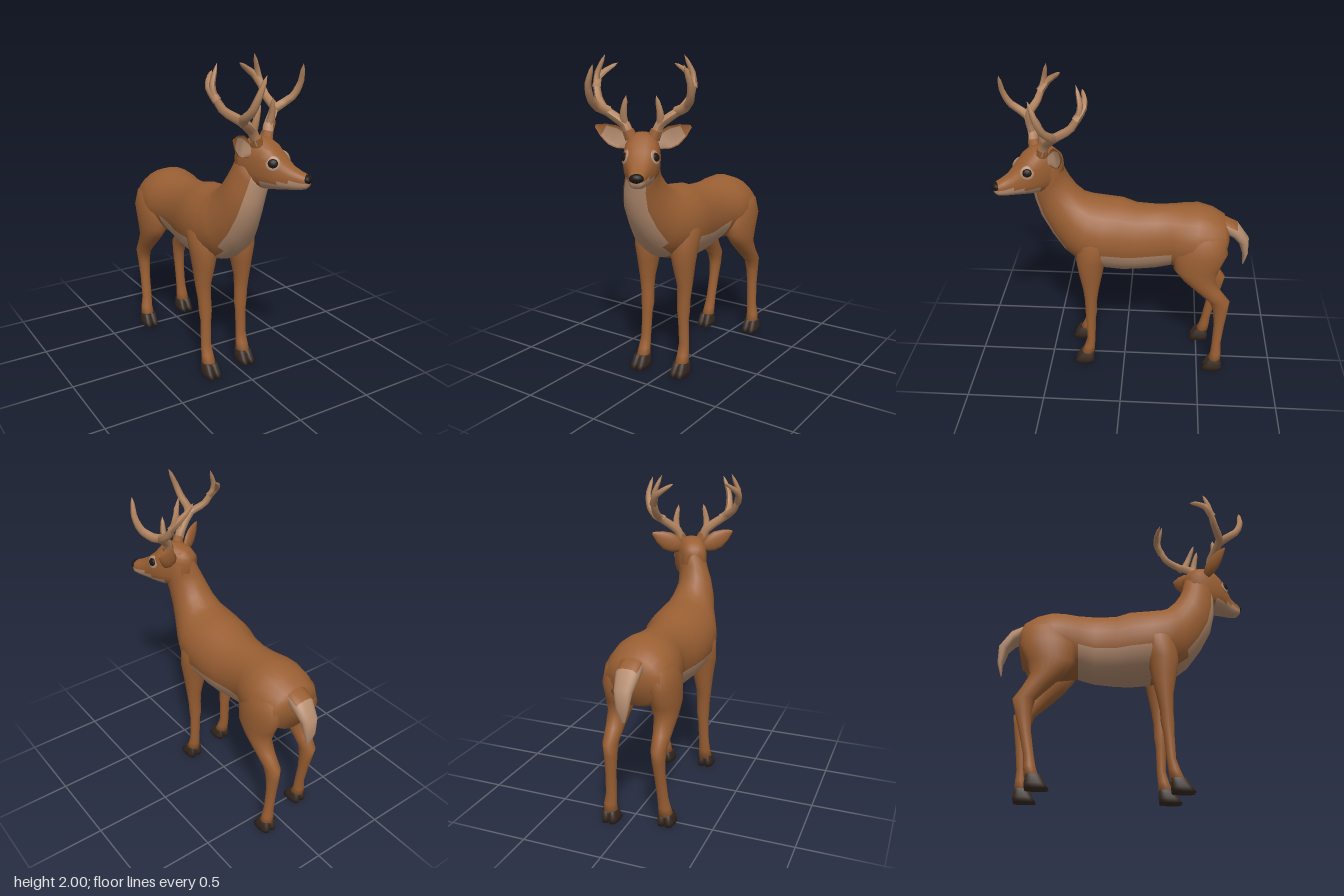
import * as THREE from 'three';

const mat = (name, color) => Object.assign(new THREE.MeshStandardMaterial({ color }), { name });
const SEG = 24;
const BODY_X = -0.05;

// Skin through oval rings [x, zTop, yTop, zBottom, yBottom, halfWidth];
// pick(ring, degrees) gives the material index of each strip, pow < 1 makes rings boxier.
function loft(rings, pick = () => 0, pow = 1) {
  const pos = [], faces = [[], []];
  const bend = v => Math.sign(v) * Math.abs(v) ** pow;
  for (const [x, zt, yt, zb, yb, w] of rings) {
    for (let j = 0; j < SEG; j++) {
      const a = (j / SEG) * Math.PI * 2, c = bend(Math.cos(a)), s = bend(Math.sin(a));
      pos.push(x + w * c, (yt + yb) / 2 + s * (yt - yb) / 2, (zt + zb) / 2 + s * (zt - zb) / 2);
    }
  }
  for (const [x, zt, yt, zb, yb] of [rings[0], rings.at(-1)]) pos.push(x, (yt + yb) / 2, (zt + zb) / 2);
  const n = rings.length, start = n * SEG, last = (n - 1) * SEG;
  for (let j = 0; j < SEG; j++) {
    const k = (j + 1) % SEG, deg = (j + 0.5) * 360 / SEG;
    for (let i = 0; i < n - 1; i++) {
      const a = i * SEG + j, b = i * SEG + k;
      faces[pick(i, deg)].push(a, b, a + SEG, b, b + SEG, a + SEG);
    }
    faces[pick(0, deg)].push(start, k, j);
    faces[pick(n - 2, deg)].push(start + 1, last + j, last + k);
  }
  const g = new THREE.BufferGeometry();
  g.setAttribute('position', new THREE.Float32BufferAttribute(pos, 3));
  g.setIndex([...faces[0], ...faces[1]]);
  g.addGroup(0, faces[0].length, 0);
  if (faces[1].length) g.addGroup(faces[0].length, faces[1].length, 1);
  g.computeVertexNormals();
  return g;
}

// Tapering, slightly angular tube through points
function tine(points, radius) {
  const curve = new THREE.CatmullRomCurve3(points.map(p => new THREE.Vector3(...p)), false, 'catmullrom', 0.2);
  const n = points.length * 2, sides = 6;
  const g = new THREE.TubeGeometry(curve, n, radius, sides);
  const p = g.attributes.position, v = new THREE.Vector3();
  for (let i = 0; i <= n; i++) {
    const c = curve.getPointAt(i / n), f = Math.max(0.02, (1 - i / n) ** 0.4);
    for (let j = 0; j <= sides; j++) {
      const id = i * (sides + 1) + j;
      v.fromBufferAttribute(p, id).sub(c).multiplyScalar(f).add(c);
      p.setXYZ(id, v.x, v.y, v.z);
    }
  }
  g.computeVertexNormals();
  return g;
}

export function createModel() {
  const fur = mat('brown fur', 0x9a5f33), cream = mat('cream fur', 0xb58d70);
  const horn = mat('antler', 0xb2845f), hoofDark = mat('hoof', 0x35281f), black = mat('black', 0x1c1614);
  const model = new THREE.Group();
  model.name = 'deer';
  const add = (parent, name, geometry, material) => {
    const m = new THREE.Mesh(geometry, material);
    m.name = name;
    parent.add(m);
    return m;
  };
  const fromBottom = deg => Math.abs(deg - 270);

  // Torso and neck, with pale belly and bib
  const torso = [
    [-0.66, 1.04, -0.67, 0.92, 0.09], [-0.635, 1.09, -0.645, 0.80, 0.165], [-0.56, 1.135, -0.56, 0.76, 0.205],
    [-0.47, 1.165, -0.45, 0.73, 0.215], [-0.39, 1.162, -0.37, 0.74, 0.21], [-0.31, 1.157, -0.30, 0.745, 0.18],
    [-0.2, 1.155, -0.2, 0.715, 0.169], [-0.07, 1.16, -0.07, 0.705, 0.19], [0.02, 1.19, 0.02, 0.705, 0.212],
    [0.13, 1.2, 0.15, 0.72, 0.223], [0.21, 1.21, 0.30, 0.77, 0.214], [0.26, 1.23, 0.39, 0.84, 0.185],
    [0.31, 1.28, 0.47, 0.95, 0.15], [0.35, 1.34, 0.54, 1.08, 0.125], [0.375, 1.40, 0.57, 1.2, 0.112, 0.015],
    [0.39, 1.47, 0.58, 1.3, 0.104, 0.04], [0.425, 1.545, 0.59, 1.38, 0.088, 0.05],
  ].map(([zt, yt, zb, yb, w, dx = 0]) => [BODY_X + dx, zt, yt, zb, yb, w]);
  const paleAngle = i => i < 5 || i === 9 ? 0 : i < 9 ? 70 : i === 10 ? 35 : 40;
  add(model, 'torso', loft(torso, (i, d) => +(fromBottom(d) < paleAngle(i))), [fur, cream]);

  // Tail, brown on top of its root
  const tail = [
    [-0.775, 0.743, -0.768, 0.75, 0.012], [-0.80, 0.83, -0.765, 0.82, 0.038], [-0.797, 0.94, -0.735, 0.91, 0.055],
    [-0.72, 1.045, -0.70, 0.95, 0.07], [-0.62, 1.09, -0.64, 0.99, 0.075],
  ].map(r => [BODY_X, ...r]);
  add(model, 'tail', loft(tail, (i, d) => +(i === 3 && Math.abs(d - 90) < 55), 0.85), [cream, fur]);

  // Legs from the ground up: [y, zBack, zFront, distance from middle, halfWidth]
  const foreLeg = [
    [0.07, 0.205, 0.295, 0.14, 0.045], [0.13, 0.2, 0.27, 0.14, 0.039], [0.2, 0.195, 0.25, 0.14, 0.034],
    [0.36, 0.19, 0.255, 0.135, 0.035], [0.42, 0.18, 0.26, 0.135, 0.042], [0.5, 0.18, 0.26, 0.138, 0.043],
    [0.6, 0.165, 0.27, 0.143, 0.05], [0.72, 0.14, 0.295, 0.137, 0.069], [0.82, 0.12, 0.31, 0.135, 0.086],
    [0.95, 0.08, 0.30, 0.138, 0.088], [1.08, 0.1, 0.26, 0.11, 0.055],
  ];
  const hindLeg = [
    [0.07, -0.66, -0.575, 0.165, 0.045], [0.13, -0.66, -0.59, 0.163, 0.039], [0.2, -0.655, -0.595, 0.155, 0.034],
    [0.35, -0.67, -0.60, 0.15, 0.034], [0.46, -0.685, -0.59, 0.148, 0.04], [0.54, -0.693, -0.56, 0.15, 0.046],
    [0.62, -0.63, -0.47, 0.15, 0.056], [0.7, -0.585, -0.385, 0.148, 0.07], [0.78, -0.61, -0.32, 0.143, 0.086],
    [0.9, -0.66, -0.315, 0.14, 0.091], [1.0, -0.64, -0.36, 0.125, 0.085], [1.08, -0.59, -0.42, 0.09, 0.055],
  ];
  const legs = [['foreLeg', foreLeg, 0.04, 0.21, 0.345], ['hindLeg', hindLeg, 0.085, -0.665, -0.53]];
  for (const side of [1, -1]) {
    for (const [name, rings, stride, heel, toeTip] of legs) {
      const leg = new THREE.Group();
      leg.name = (side > 0 ? 'left ' : 'right ') + name;
      model.add(leg);
      const step = y => side > 0 ? 0 : stride * Math.max(0, 1 - y / 0.65);
      add(leg, 'leg', loft(rings.map(([y, b, f, d, w]) =>
        [BODY_X + side * d, b + step(y), y, f + step(y), y, w])), fur);
      // Cloven hoof
      const [, b, f, d] = rings[0], s = step(0);
      for (const toe of [-1, 1]) {
        const x = BODY_X + side * d + toe * 0.024;
        add(leg, 'hoof', loft([
          [x, heel + s, 0.003, toeTip + s, 0.003, 0.027], [x, heel - 0.003 + s, 0.03, toeTip - 0.02 + s, 0.03, 0.028],
          [x - toe * 0.003, b - 0.002 + s, 0.082, f + 0.002 + s, 0.082, 0.026],
        ], undefined, 0.8), hoofDark);
      }
    }
  }

  // Head, turned toward the left
  const head = new THREE.Group();
  head.name = 'head';
  head.position.set(0, 0, 0.5);
  head.rotation.y = 0.53;
  model.add(head);
  const skull = [
    [-0.11, 1.51, 1.38, 0.06], [-0.07, 1.55, 1.32, 0.085], [0, 1.578, 1.285, 0.1], [0.06, 1.572, 1.282, 0.105],
    [0.11, 1.542, 1.285, 0.102], [0.16, 1.485, 1.29, 0.086], [0.22, 1.43, 1.295, 0.06], [0.27, 1.405, 1.3, 0.05],
    [0.31, 1.39, 1.31, 0.042], [0.325, 1.375, 1.325, 0.026],
  ].map(([z, t, b, w]) => [0, z, t, z, b, w]);
  const jawAngle = i => i < 3 ? 0 : i < 5 ? 60 : i === 5 ? 75 : 85;
  add(head, 'skull', loft(skull, (i, d) => +(fromBottom(d) < jawAngle(i)), 0.8), [fur, cream]);
  const ball = new THREE.SphereGeometry(1, 14, 10);
  const nose = add(head, 'nose', ball, black);
  nose.position.set(0, 1.366, 0.314);
  nose.scale.set(0.04, 0.027, 0.026);

  for (const side of [1, -1]) {
    // Eye in a pale surround
    const eye = new THREE.Group();
    eye.name = 'eye';
    eye.position.set(side * 0.083, 1.452, 0.138);
    eye.rotation.set(0, -side * 0.4, side * 0.3);
    head.add(eye);
    add(eye, 'eyeSurround', ball, cream).scale.set(0.01, 0.043, 0.043);
    const pupil = add(eye, 'eyeball', ball, black);
    pupil.position.x = side * 0.005;
    pupil.scale.set(0.015, 0.026, 0.029);

    // Ear, hollow and pale in front with a brown rim that is wider on top
    const earShape = [[0, 0.036, 0.022], [0.05, 0.058, 0.03], [0.1, 0.062, 0.028], [0.16, 0.042, 0.02], [0.215, 0.008, 0.004]]
      .map(([z, h, w]) => [0, z, h, z, -h, w]);
    const facing = (side > 0 ? 180 : 0) + side * 10;
    const earGeo = loft(earShape, (i, d) => +(i < 3 && Math.cos((d - facing) * Math.PI / 180) > 0.6));
    const p = earGeo.attributes.position;
    for (let i = 0; i < p.count; i++) if (p.getX(i) * side < 0 && p.getZ(i) > 0.01) p.setX(i, p.getX(i) * -0.35);
    earGeo.computeVertexNormals();
    const ear = add(head, 'ear', earGeo, [fur, cream]);
    ear.position.set(side * 0.085, 1.505, -0.01);
    ear.rotation.set(-0.5, side * Math.PI / 2, 0, 'YXZ');

    // Antler: main beam and tines
    const antler = new THREE.Group();
    antler.name = 'antler';
    head.add(antler);
    const branches = [
      ['mainBeam', 0.033, [[0.07, 1.55, 0.03], [0.1, 1.62, 0.02], [0.16, 1.665, 0.015], [0.22, 1.705, 0],
        [0.262, 1.755, -0.075], [0.282, 1.84, -0.125], [0.275, 1.9, -0.137], [0.228, 2.0, -0.135]]],
      ['rearTine', 0.026, [[0.28, 1.81, -0.105], [0.275, 1.87, -0.155], [0.23, 1.91, -0.185], [0.165, 1.95, -0.2]]],
      ['frontTine', 0.03, [[0.19, 1.69, 0.005], [0.25, 1.72, 0.04], [0.277, 1.77, 0.1], [0.28, 1.85, 0.138], [0.245, 1.96, 0.165]]],
      ['browTine', 0.025, [[0.1, 1.61, 0.02], [0.105, 1.68, 0.04], [0.084, 1.785, 0.054]]],
    ];
    for (const [name, r, pts] of branches) add(antler, name, tine(pts.map(([x, y, z]) => [side * x, y, z]), r), horn);
    const pedicle = add(antler, 'pedicle', new THREE.CylinderGeometry(0.033, 0.038, 0.05, 8), fur);
    pedicle.position.set(side * 0.072, 1.565, 0.03);
    pedicle.rotation.z = -side * 0.4;
  }
  return model;
}
